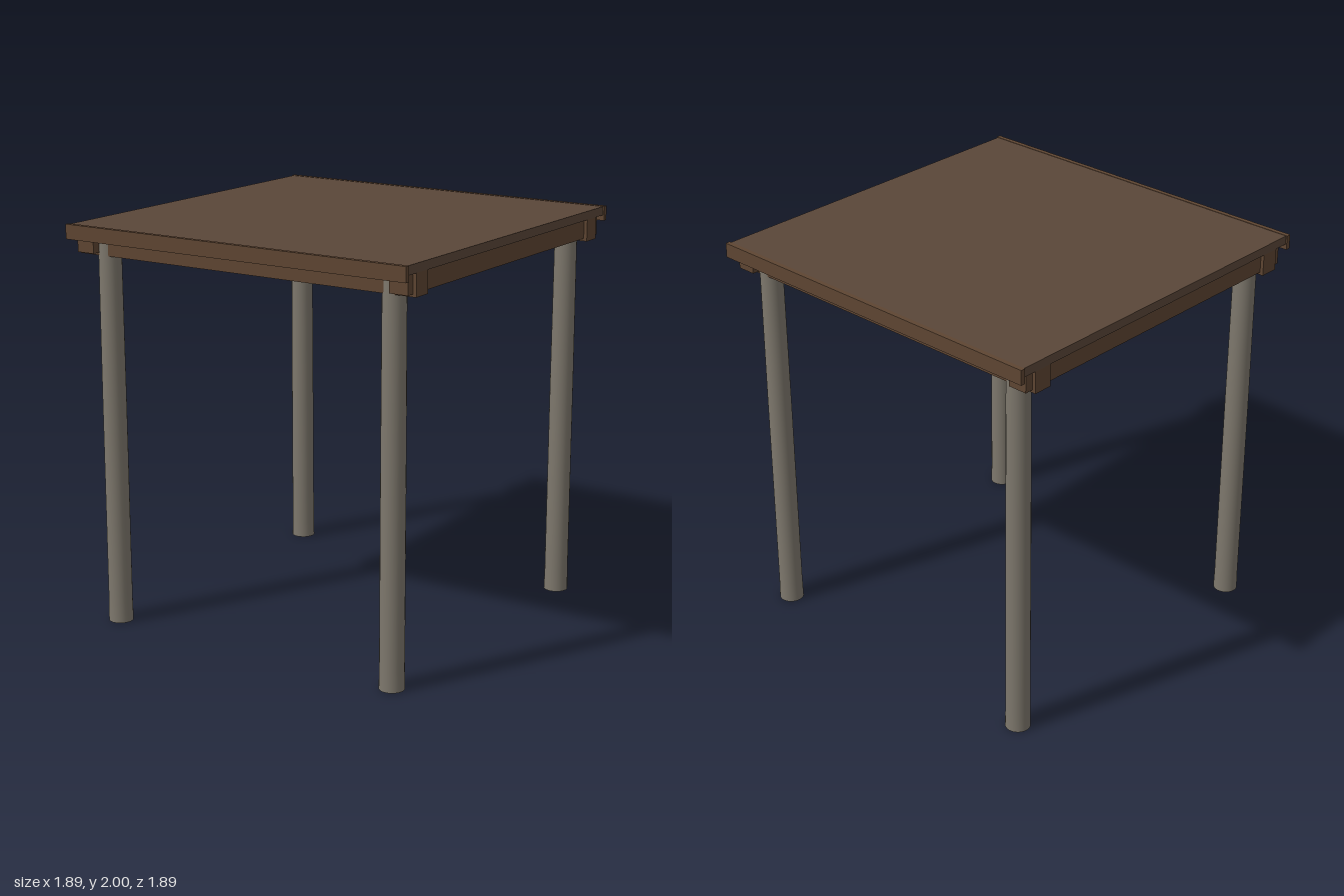
import * as THREE from 'three';

export function createModel() {
  const root = new THREE.Group();
  root.name = 'canopy';

  const mat = (name, color) => {
    const m = new THREE.MeshStandardMaterial({ color });
    m.name = name;
    return m;
  };
  const roofWood = mat('roof wood', 0x5a4638);
  const timber = mat('timber brown', 0x5e4532);
  const stone = mat('warm grey', 0x7d776c);

  // box given by its size, centre x/z and vertical extent
  const box = (name, material, w, d, x, z, y0, y1) => {
    const mesh = new THREE.Mesh(new THREE.BoxGeometry(w, y1 - y0, d), material);
    mesh.position.set(x, (y0 + y1) / 2, z);
    mesh.name = name;
    root.add(mesh);
  };

  // flat roof panel
  box('roofPanel', roofWood, 1.876, 1.86, 0, 0, 1.955, 1.998);

  // gently tapering column profile, running up into the beams
  const profile = [[0, 0], [0.061, 0], [0.061, 0], [0.059, 0.1], [0.058, 1.14], [0.055, 1.957], [0, 1.957]]
    .map(([r, y]) => new THREE.Vector2(r, y));
  const shaft = new THREE.LatheGeometry(profile.slice(2, 6), 24);
  const foot = new THREE.CircleGeometry(0.061, 24).rotateX(Math.PI / 2);

  for (const s of [1, -1]) {
    const end = s > 0 ? 'front' : 'back';
    const side = s > 0 ? 'left' : 'right';

    // edge boards on the front and back of the roof
    box(end + 'Fascia', timber, 1.89, 0.024, 0, s * 0.933, 1.928, 2);
    // main beams across the columns
    box(end + 'Beam', timber, 1.876, 0.096, 0, s * 0.8, 1.848, 1.956);
    // side beams just outside the column centres
    box(side + 'Beam', timber, 0.096, 1.78, s * 0.873, 0, 1.861, 1.956);

    // columns
    for (const t of [1, -1]) {
      const column = new THREE.Group();
      column.name = end + (t > 0 ? 'Left' : 'Right') + 'Column';
      const body = new THREE.Mesh(shaft, stone);
      body.name = 'columnShaft';
      const base = new THREE.Mesh(foot, stone);
      base.name = 'columnFoot';
      column.add(body, base);
      column.position.set(t * 0.798, 0, s * 0.8);
      root.add(column);
    }
  }
  return root;
}
